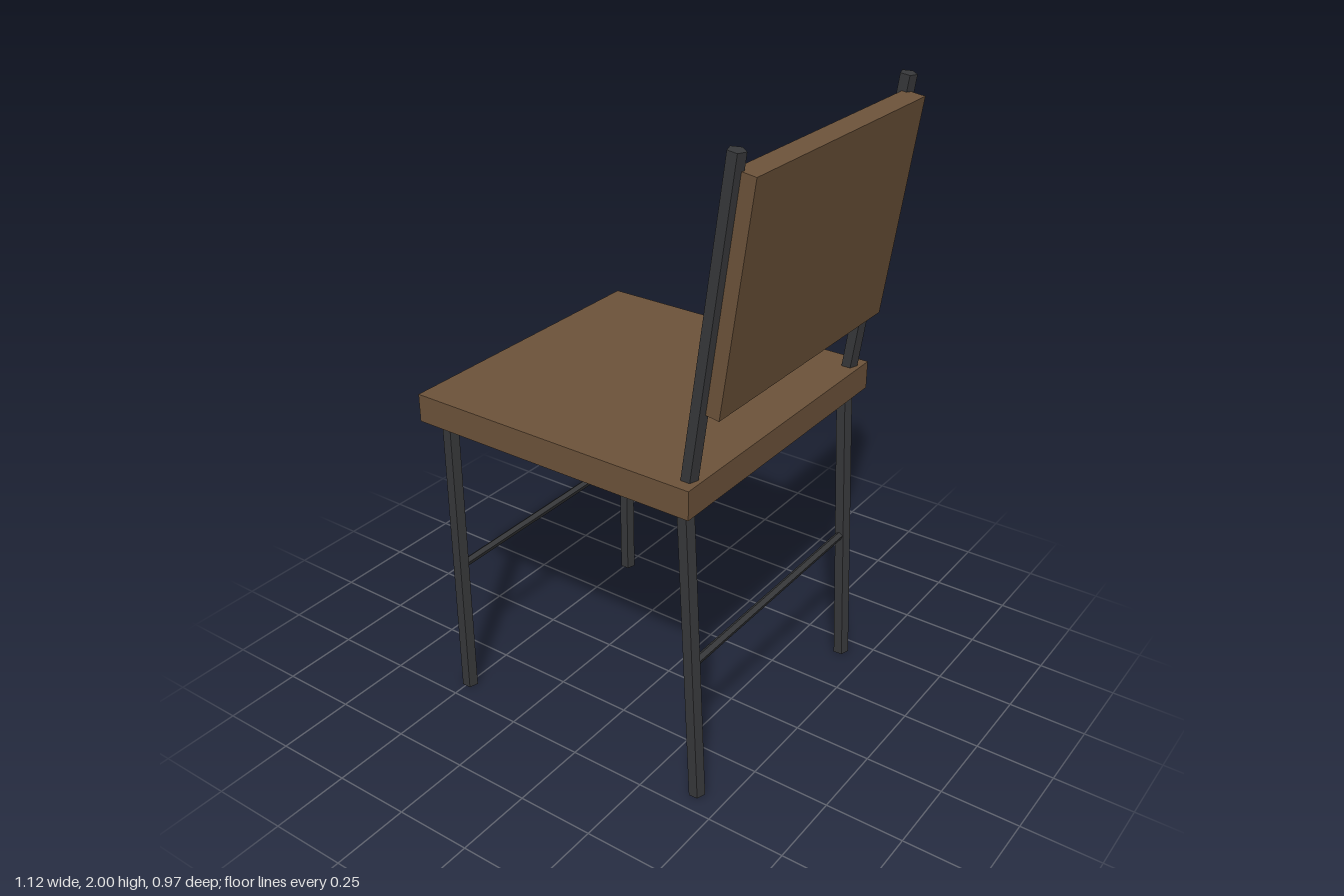
import * as THREE from 'three';

const wood = new THREE.MeshStandardMaterial({ color: 0x6d533a });
wood.name = 'brown wood';
const metal = new THREE.MeshStandardMaterial({ color: 0x37383a });
metal.name = 'dark metal';
// faceted tubes
metal.flatShading = true;

// five-sided rod between two points
function rod(name, from, to, radius) {
  const a = new THREE.Vector3(...from);
  const b = new THREE.Vector3(...to);
  const dir = b.clone().sub(a);
  const geometry = new THREE.CylinderGeometry(radius, radius, dir.length(), 5);
  geometry.rotateY(Math.PI);
  const mesh = new THREE.Mesh(geometry, metal);
  mesh.name = name;
  mesh.position.copy(a).add(b).multiplyScalar(0.5);
  mesh.quaternion.setFromUnitVectors(new THREE.Vector3(0, 1, 0), dir.normalize());
  return mesh;
}

function board(name, size, position) {
  const mesh = new THREE.Mesh(new THREE.BoxGeometry(...size), wood);
  mesh.name = name;
  mesh.position.set(...position);
  return mesh;
}

export function createModel() {
  const chair = new THREE.Group();
  chair.name = 'chair';

  // seat and tilted back panel
  chair.add(board('seat', [0.975, 0.09, 0.974], [-0.077, 1.025, 0]));
  const back = board('backPanel', [0.065, 0.677, 0.862], [0.48, 1.61, 0]);
  back.rotation.z = -0.138;
  chair.add(back);

  // legs and back uprights on both sides
  for (const [side, z] of [['left', -0.434], ['right', 0.43]]) {
    chair.add(
      rod(side + 'FrontLeg', [-0.497, 0, z], [-0.497, 1.0, z], 0.0255),
      rod(side + 'BackLeg', [0.41, 0.001, z], [0.361, 1.0, z], 0.0255),
      rod(side + 'Upright', [0.367, 1.02, z], [0.501, 1.997, z], 0.0255)
    );
  }

  // crossbars under the seat
  for (const [name, x] of [['frontCrossbar', -0.497], ['backCrossbar', 0.387]]) {
    chair.add(rod(name, [x, 0.462, -0.43], [x, 0.462, 0.43], 0.0135));
  }
  return chair;
}
